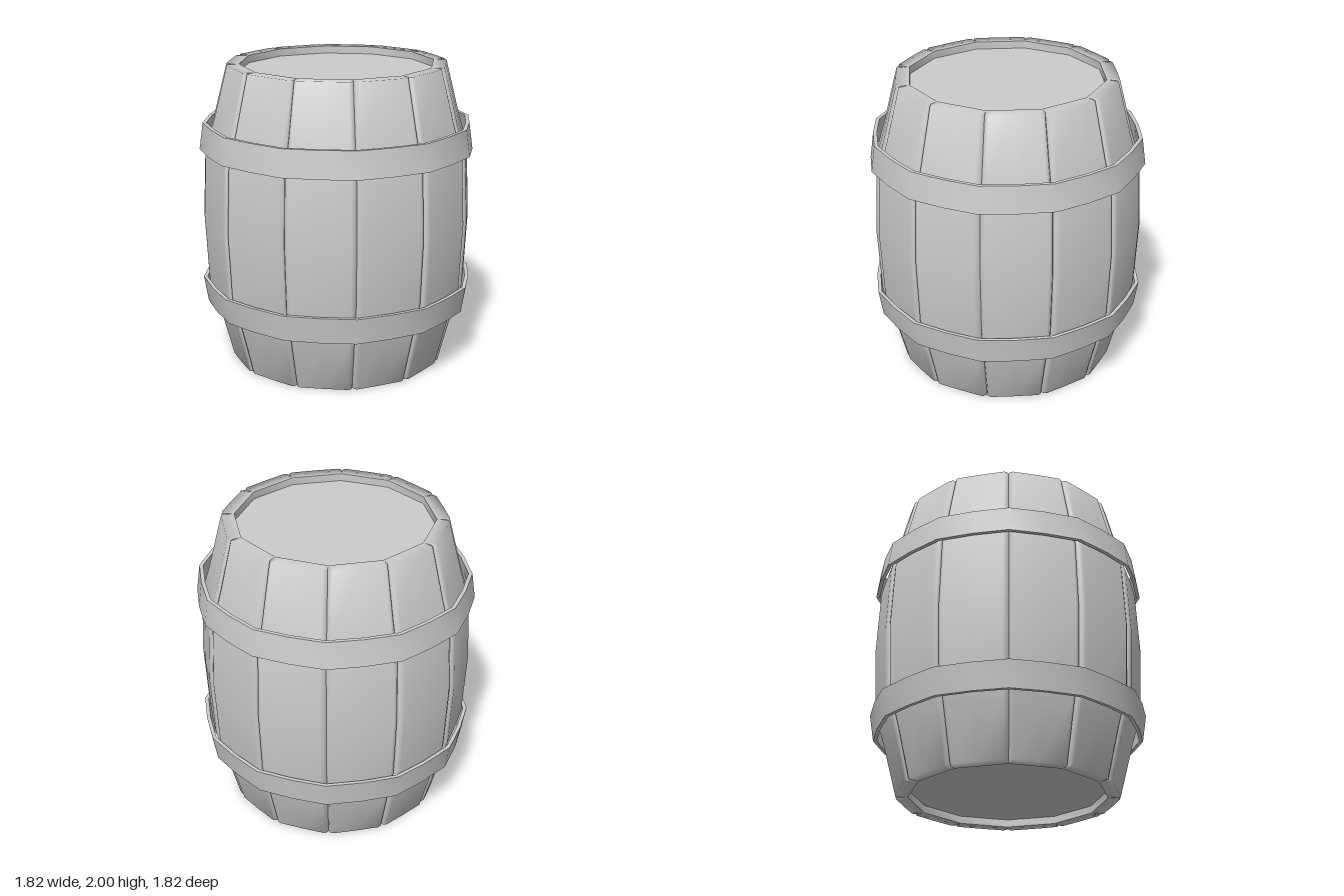
import * as THREE from 'three';
import { toCreasedNormals } from 'three/addons/utils/BufferGeometryUtils.js';

const STAVES = 12;
const HALF = Math.PI / STAVES;
const RIM = 0.64;   // inner radius of the rim
const FLAT = 0.98;  // middle of each stave lies slightly inside its edges

// One stave: a bulging vertical profile swept over a cross-section with rounded edges
function staveGeometry() {
  const profile = [[0.72, 0], [0.81, 0.35], [0.872, 0.56], [0.893, 1], [0.872, 1.44], [0.81, 1.65], [0.72, 2]];
  // [angle in degrees from the stave middle, radius scale, groove depth]
  const section = [[-15, 1, 0.028], [-14.2, 1, 0.008], [-12.6, 1, 0], [0, FLAT, 0], [12.6, 1, 0], [14.2, 1, 0.008], [15, 1, 0.028]];
  const rows = [[null, 0], ...profile, [null, 2]];
  const positions = [], index = [];
  for (const [radius, y] of rows) {
    for (const [deg, scale, depth] of section) {
      const a = THREE.MathUtils.degToRad(deg);
      const r = radius === null ? RIM * Math.cos(HALF) / Math.cos(a) : radius * scale - depth;
      positions.push(r * Math.sin(a), y, r * Math.cos(a));
    }
  }
  const n = section.length;
  for (let i = 0; i < rows.length - 1; i++) {
    for (let j = 0; j < n - 1; j++) {
      const a = i * n + j, b = a + 1, c = b + n, d = a + n;
      index.push(a, b, c, a, c, d);
    }
  }
  const geometry = new THREE.BufferGeometry();
  geometry.setAttribute('position', new THREE.Float32BufferAttribute(positions, 3));
  geometry.setIndex(index);
  geometry.computeVertexNormals();
  return geometry;
}

function lathe(points, segments) {
  return new THREE.LatheGeometry(points.map(([r, y]) => new THREE.Vector2(r, y)), segments);
}

// Thin flared band that follows the stave corners
function hoopGeometry(points) {
  const geometry = lathe(points, STAVES * 2);
  const pos = geometry.attributes.position;
  for (let i = 0; i < pos.count; i++) {
    const column = Math.floor(i / points.length);
    if (column % 2) pos.setXYZ(i, pos.getX(i) * FLAT, pos.getY(i), pos.getZ(i) * FLAT);
  }
  return toCreasedNormals(geometry, 0.6);
}

export function createModel() {
  const model = new THREE.Group();
  model.name = 'barrel';
  const material = new THREE.MeshStandardMaterial({ color: 0xcccccc });
  const add = (name, geometry, parent = model) => {
    const mesh = new THREE.Mesh(geometry, material);
    mesh.name = name;
    parent.add(mesh);
    return mesh;
  };

  // Ring of staves
  const staves = new THREE.Group();
  staves.name = 'staves';
  model.add(staves);
  const stave = staveGeometry();
  for (let i = 0; i < STAVES; i++) {
    add('stave', stave, staves).rotation.y = (2 * i + 1) * HALF;
  }

  // Recessed lid and base, each with the inner wall of its rim
  add('lid', toCreasedNormals(lathe([[RIM, 2], [RIM, 1.95], [0, 1.95]], STAVES), 0.6));
  add('base', toCreasedNormals(lathe([[0, 0.05], [RIM, 0.05], [RIM, 0]], STAVES), 0.6));

  // Hoops flare towards the middle of the barrel
  add('lowerHoop', hoopGeometry([[0.882, 0.385], [0.91, 0.56], [0.885, 0.56], [0.858, 0.385], [0.882, 0.385]]));
  add('upperHoop', hoopGeometry([[0.91, 1.445], [0.885, 1.62], [0.86, 1.62], [0.885, 1.445], [0.91, 1.445]]));

  return model;
}
